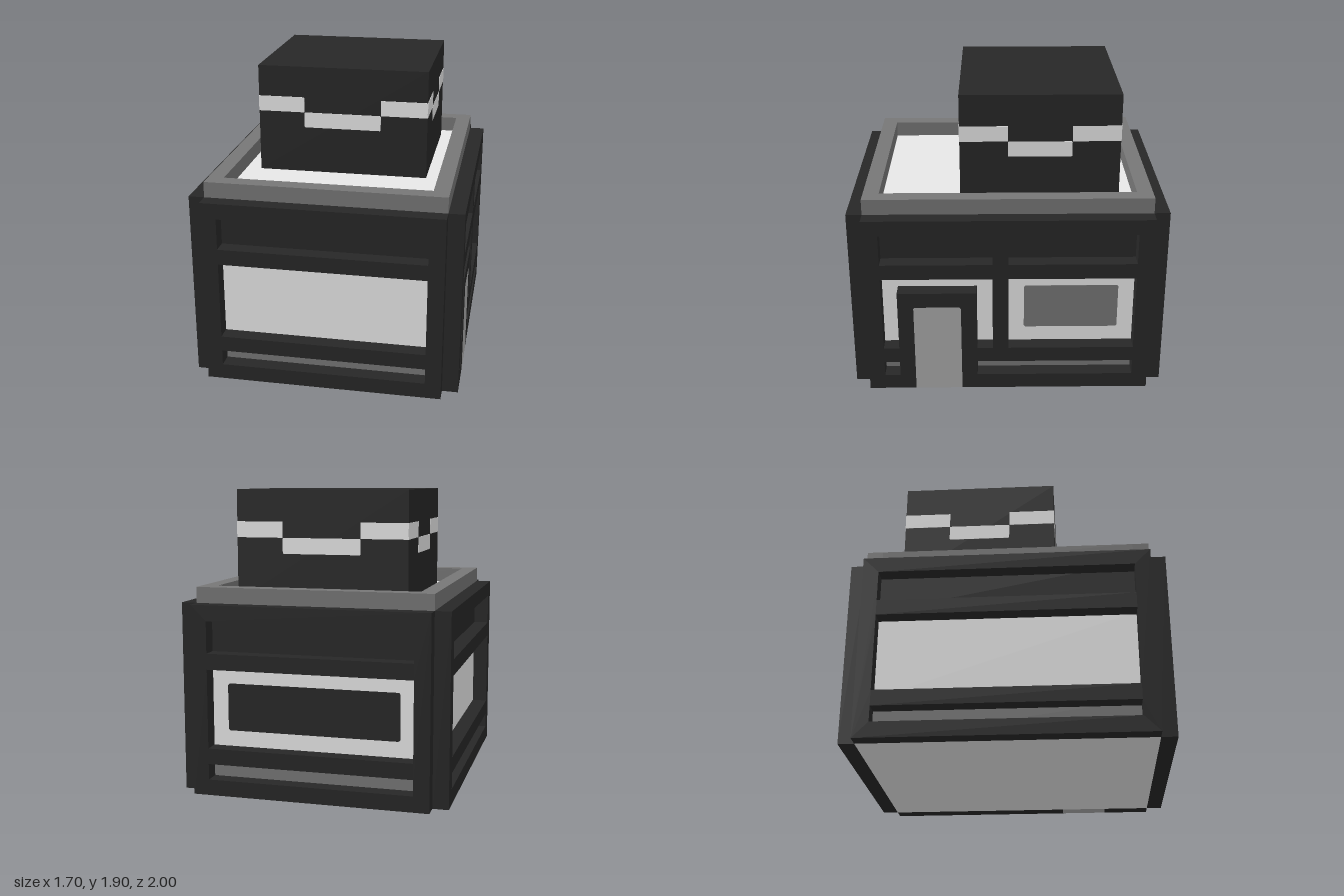
import * as THREE from 'three';

const mat = (name, color) => {
  const m = new THREE.MeshStandardMaterial({ color });
  m.name = name;
  return m;
};

export function createModel() {
  const dark = mat('charcoal', 0x272727);
  const grey = mat('mid grey', 0x767676);
  const pale = mat('pale grey', 0xe7e7e7);
  const steel = mat('door grey', 0xaaaaaa);

  const model = new THREE.Group();
  model.name = 'shopBuilding';

  // box given by its low and high limits on each axis
  const box = (parent, name, material, [x0, x1], [y0, y1], [z0, z1]) => {
    const mesh = new THREE.Mesh(new THREE.BoxGeometry(x1 - x0, y1 - y0, z1 - z0), material);
    mesh.position.set((x0 + x1) / 2, (y0 + y1) / 2, (z0 + z1) / 2);
    mesh.name = name;
    parent.add(mesh);
  };

  // group whose local +z points out of one wall, with its origin on the wall
  const wallGroup = (name, angle, distance, centreZ = 0) => {
    const g = new THREE.Group();
    g.name = name;
    g.rotation.y = angle;
    g.position.set(Math.sin(angle) * distance, 0, centreZ + Math.cos(angle) * distance);
    model.add(g);
    return g;
  };

  const points = (list) => list.map(([x, y]) => new THREE.Vector2(x, y));
  const rect = (x0, x1, y0, y1) => [[x0, y0], [x1, y0], [x1, y1], [x0, y1]];
  // rectangle with slightly clipped corners
  const clipped = (x0, x1, y0, y1, c = 0.01) => [
    [x0 + c, y0], [x1 - c, y0], [x1, y0 + c], [x1, y1 - c],
    [x1 - c, y1], [x0 + c, y1], [x0, y1 - c], [x0, y0 + c],
  ];
  const slab = (parent, name, material, depth, outline, holes = []) => {
    const shape = new THREE.Shape(points(outline));
    shape.holes = holes.map((h) => new THREE.Path(points(h)));
    const geo = new THREE.ExtrudeGeometry(shape, { depth, bevelEnabled: false });
    const mesh = new THREE.Mesh(geo, material);
    mesh.name = name;
    parent.add(mesh);
  };

  // core walls in horizontal bands, seen through the frames
  const X = [-0.75, 0.75], Z = [-0.9, 0.9];
  box(model, 'floor', pale, X, [0, 0.01], Z);
  box(model, 'baseBand', grey, X, [0.01, 0.25], Z);
  box(model, 'wallBand', pale, X, [0.25, 0.85], Z);
  box(model, 'signBand', dark, X, [0.85, 1.19], Z);
  box(model, 'roofDeck', pale, [-0.65, 0.65], [1.19, 1.2], [-0.8, 0.8]);

  // raised roof rim
  for (const s of [-1, 1]) {
    const span = (a, b) => [Math.min(s * a, s * b), Math.max(s * a, s * b)];
    box(model, 'roofRimEnd', grey, X, [1.19, 1.3], span(0.8, 0.9));
    box(model, 'roofRimSide', grey, span(0.65, 0.75), [1.19, 1.3], [-0.8, 0.8]);
  }

  // plain walls: front, back and right-hand side, each with three openings
  const walls = [['frontWall', 0, 0.9, 0.75], ['backWall', Math.PI, 0.9, 0.75], ['plainSideWall', -Math.PI / 2, 0.75, 0.9]];
  for (const [name, angle, distance, half] of walls) {
    const wall = wallGroup(name, angle, distance);
    const w = half - 0.1;
    slab(wall, 'wallFrame', dark, 0.1, rect(-half, half, 0, 1.2),
      [[0.1, 0.2], [0.3, 0.8], [0.9, 1.1]].map(([a, b]) => rect(-w, w, a, b)));
    if (name === 'backWall') slab(wall, 'backWindow', dark, 0.003, clipped(-0.55, 0.55, 0.4, 0.7));
  }

  // door side: notch for the door, openings shaped around its surround
  const doorWall = wallGroup('doorSideWall', Math.PI / 2, 0.75);
  slab(doorWall, 'wallFrame', dark, 0.1,
    [[-0.9, 0], [-0.6, 0], [-0.6, 0.59], [-0.59, 0.6], [-0.31, 0.6], [-0.3, 0.59], [-0.3, 0], [0.9, 0], [0.9, 1.2], [-0.9, 1.2]],
    [
      rect(-0.8, -0.1, 0.9, 1.1), rect(0, 0.8, 0.9, 1.1), rect(0, 0.8, 0.3, 0.8),
      rect(-0.8, -0.7, 0.1, 0.2), rect(-0.2, 0.8, 0.1, 0.2),
      [[-0.8, 0.3], [-0.7, 0.3], [-0.7, 0.7], [-0.2, 0.7], [-0.2, 0.3], [-0.1, 0.3], [-0.1, 0.8], [-0.8, 0.8]],
    ]);
  slab(doorWall, 'door', steel, 0.1,
    [[-0.6, 0], [-0.3, 0], [-0.3, 0.59], [-0.31, 0.6], [-0.59, 0.6], [-0.6, 0.59]]);
  slab(doorWall, 'sideWindow', grey, 0.003, clipped(0.1, 0.7, 0.4, 0.7));

  // rooftop block with a stepped pale stripe on all four sides
  box(model, 'rooftopBlock', dark, [-0.55, 0.55], [1.2, 1.9], [-0.7, 0.3]);
  for (let i = 0; i < 4; i++) {
    const [half, step, distance] = i % 2 ? [0.5, 0.2, 0.55] : [0.55, 0.25, 0.5];
    const side = wallGroup('rooftopStripe', i * Math.PI / 2, distance, -0.2);
    box(side, 'stripeLeft', pale, [-half, -step], [1.6, 1.7], [0, 0.002]);
    slab(side, 'stripeCentre', pale, 0.002, clipped(-step, step, 1.5, 1.6, 0.005));
    box(side, 'stripeRight', pale, [step, half], [1.6, 1.7], [0, 0.002]);
  }

  return model;
}
